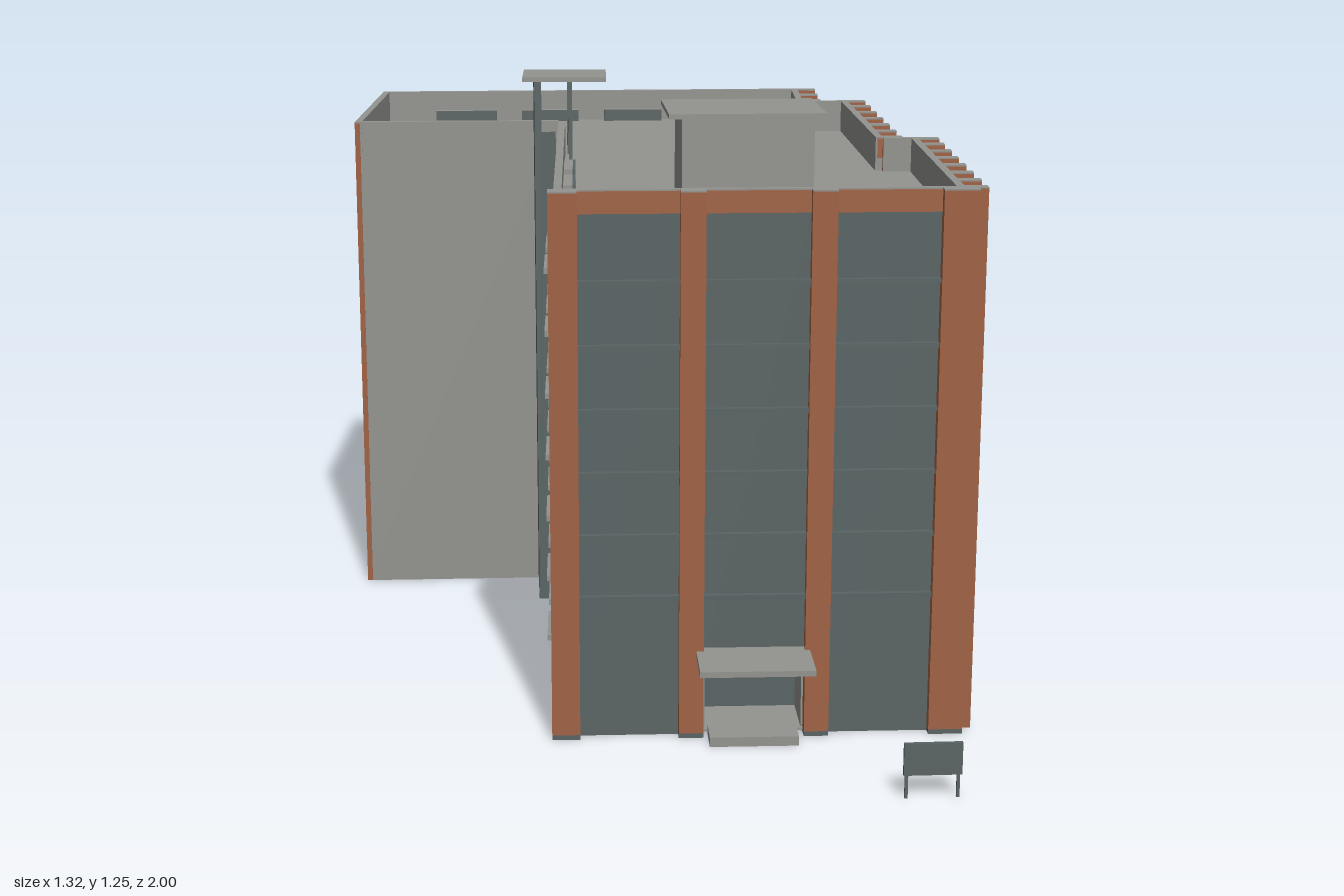
import * as THREE from 'three';

const mat = (name, color, side = THREE.FrontSide) => {
  const m = new THREE.MeshStandardMaterial({ color, side });
  m.name = name;
  return m;
};

export function createModel() {
  const brick = mat('brick', 0xa06243);
  const grey = mat('concrete', 0x93938f, THREE.DoubleSide);
  const dark = mat('darkGlass', 0x5a6464, THREE.DoubleSide);
  const model = new THREE.Group();
  model.name = 'apartmentBlock';
  const TOP = 1.122, BAND = 1.078, ROOF = 1.05, STOREY = 0.1293;

  // Box given by its lower and upper limits on each axis
  function box(parent, name, material, x0, x1, y0, y1, z0, z1) {
    const mesh = new THREE.Mesh(new THREE.BoxGeometry(x1 - x0, y1 - y0, z1 - z0), material);
    mesh.position.set((x0 + x1) / 2, (y0 + y1) / 2, (z0 + z1) / 2);
    mesh.name = name;
    parent.add(mesh);
    return mesh;
  }

  // Wall group: local x runs along the wall, local z points outward
  function side(name, a, b) {
    const g = new THREE.Group();
    g.name = name;
    g.position.set(a[0], 0, a[1]);
    g.rotation.y = Math.atan2(a[1] - b[1], b[0] - a[0]);
    g.userData.length = Math.hypot(b[0] - a[0], b[1] - a[1]);
    model.add(g);
    const L = g.userData.length;
    box(g, 'parapetLining', grey, 0, L, ROOF, TOP, -0.016, -0.012);
    box(g, 'coping', grey, 0, L, TOP, TOP + 0.003, -0.016, 0);
    return g;
  }

  // Plain wall of one colour
  function plainWall(name, a, b, material) {
    const g = side(name, a, b);
    box(g, 'wall', material, 0, g.userData.length, 0, TOP, -0.012, 0);
  }

  // Brick wall with recessed window bays and projecting floor slabs
  function bayWall(name, a, b, bays, end) {
    const g = side(name, a, b);
    const L = end ?? g.userData.length, depth = 0.035;
    box(g, 'topBand', brick, 0, g.userData.length, BAND, TOP, -0.012, 0);
    let u = 0;
    for (const [u0, u1] of [...bays, [L, L]]) {
      if (u0 - u > 0.001) box(g, 'brickPier', brick, u, u0, 0, BAND, -0.012, 0);
      u = u1;
      if (u1 === u0) continue;
      box(g, 'bayGlazing', dark, u0, u1, 0, BAND, -depth - 0.006, -depth);
      for (const e of [u0, u1 - 0.004]) box(g, 'bayReveal', grey, e, e + 0.004, 0, BAND, -depth, -0.002);
      box(g, 'bayHead', grey, u0, u1, BAND - 0.004, BAND, -depth, -0.002);
      for (let i = 0; i < 7; i++) {
        const y = 0.165 + i * STOREY;
        box(g, 'floorSlab', grey, u0 + 0.002, u1 - 0.002, y - 0.006, y + 0.006, -depth, 0.022);
      }
    }
    return g;
  }

  // Concrete wall with brick fins and oval windows in every bay
  const oval = new THREE.CircleGeometry(1, 20);
  oval.scale(0.026, 0.035, 1);
  function finWall(name, a, b, count) {
    const g = side(name, a, b), L = g.userData.length, step = L / count;
    box(g, 'wall', grey, 0, L, 0, BAND, -0.012, 0);
    box(g, 'topBand', brick, 0, L, BAND, TOP, -0.012, 0.002);
    box(g, 'plinth', dark, 0, L, 0, 0.01, 0, 0.004);
    for (let i = 0; i <= count; i++) {
      const u = Math.min(Math.max(i * step, 0.012), L - 0.012);
      box(g, 'fin', brick, u - 0.012, u + 0.012, 0.004, TOP, -0.005, 0.045);
      box(g, 'finCap', grey, u - 0.012, u + 0.012, TOP, TOP + 0.003, -0.005, 0.045);
      if (i === count) break;
      for (let f = 0; f < 8; f++) {
        const w = new THREE.Mesh(oval, dark);
        w.name = 'ovalWindow';
        w.position.set((i + 0.5) * step, 0.092 + f * 0.1325, 0.003);
        g.add(w);
      }
    }
  }

  // Footprint corners, counter-clockwise seen from above
  const P = [[-0.215, 0.655], [0.585, 0.67], [0.612, -0.015], [0.535, -0.02], [0.55, -0.675],
    [0.44, -0.68], [0.457, -0.925], [-0.615, -0.925], [-0.655, -0.34], [-0.18, -0.335]];

  // Front: dark glazing between brick pilasters
  const front = side('frontWall', P[0], P[1]);
  box(front, 'topBand', brick, 0, 0.8, BAND, TOP, -0.012, 0.004);
  for (const [u0, u1] of [[-0.012, 0.045], [0.245, 0.295], [0.5, 0.55], [0.755, 0.825]]) {
    box(front, 'pilaster', brick, u0, u1, 0.01, TOP, -0.012, 0.022);
    box(front, 'pilasterBase', dark, u0, u1, 0, 0.01, -0.012, 0.022);
    box(front, 'pilasterCap', grey, u0, u1, TOP, TOP + 0.003, -0.012, 0.022);
  }
  for (const [u0, u1, y0] of [[0.045, 0.245, 0], [0.295, 0.5, 0.157], [0.55, 0.755, 0]]) {
    box(front, 'glazing', dark, u0, u1, y0, BAND, -0.006, 0);
    for (let i = 1; i < 7; i++) {
      const y = 0.167 + i * STOREY;
      box(front, 'spandrel', dark, u0, u1, y - 0.005, y + 0.005, 0, 0.012);
    }
  }

  // Recessed entrance with canopy and step
  const entrance = new THREE.Group();
  entrance.name = 'entrance';
  front.add(entrance);
  box(entrance, 'doorPanel', dark, 0.295, 0.5, 0, 0.157, -0.126, -0.12);
  for (const u of [0.295, 0.496]) box(entrance, 'entranceSide', grey, u, u + 0.004, 0, 0.157, -0.12, -0.006);
  box(entrance, 'entranceCeiling', grey, 0.295, 0.5, 0.153, 0.157, -0.12, -0.006);
  box(entrance, 'entranceFloor', grey, 0.295, 0.5, 0.004, 0.01, -0.12, 0);
  box(entrance, 'step', grey, 0.305, 0.485, 0, 0.02, 0, 0.07);
  box(entrance, 'canopy', grey, 0.28, 0.51, 0.174, 0.186, 0, 0.136);

  // Stepped right side
  finWall('rightFrontWall', P[1], P[2], 7);
  plainWall('rightFrontStep', P[2], P[3], brick);
  finWall('rightMiddleWall', P[3], P[4], 6);
  plainWall('rightBackStep', P[4], P[5], brick);
  finWall('rightBackWall', P[5], P[6], 2);

  // Back with four bays and a corner panel carrying balconies
  const back = bayWall('backWall', P[6], P[7],
    [[0.142, 0.292], [0.357, 0.505], [0.572, 0.717], [0.782, 0.937]], 0.937);
  box(back, 'cornerGlazing', dark, 0.937, 1.072, 0.24, BAND, -0.012, 0);
  box(back, 'cornerBase', brick, 0.937, 1.072, 0, 0.24, -0.012, 0);
  for (const y of [0.293, 0.551, 0.809]) box(back, 'balcony', grey, 0.935, 1.076, y, y + 0.054, 0, 0.074);

  // Left side
  bayWall('leftWingWall', P[7], P[8], [[0.22, 0.357]]);
  plainWall('wingFrontWall', P[8], P[9], grey);
  bayWall('leftMainWall', P[9], P[0], [[0.295, 0.437], [0.505, 0.648], [0.715, 0.865]]);

  // Roof deck
  const deck = new THREE.Shape(P.map(([x, z]) => new THREE.Vector2(x, -z)));
  const roof = new THREE.Mesh(new THREE.ShapeGeometry(deck).rotateX(-Math.PI / 2), grey);
  roof.position.y = ROOF;
  roof.name = 'roofDeck';
  model.add(roof);

  // Rooftop plant room
  box(model, 'plantRoom', grey, 0.055, 0.328, ROOF, 1.225, 0.18, 0.378);
  box(model, 'plantRoomRoof', grey, 0.027, 0.35, 1.225, 1.235, 0.153, 0.398);

  // Shaft in the inner corner with its covered top
  const shaft = new THREE.Group();
  shaft.name = 'cornerShaft';
  model.add(shaft);
  box(shaft, 'shaftPanel', dark, -0.238, -0.222, 0, 1.235, -0.325, -0.18);
  box(shaft, 'shaftFront', dark, -0.222, -0.19, 0, 1.12, -0.188, -0.18);
  for (const z of [-0.318, -0.186]) box(shaft, 'post', dark, -0.16, -0.152, ROOF, 1.235, z - 0.004, z + 0.004);
  const cover = box(shaft, 'shaftRoof', grey, -0.262, -0.072, 1.235, 1.245, -0.333, -0.173);
  cover.rotation.y = -0.035;

  // Free-standing sign board
  const sign = new THREE.Group();
  sign.name = 'signBoard';
  model.add(sign);
  box(sign, 'board', dark, 0.435, 0.548, 0.047, 0.112, 0.992, 1);
  for (const x of [0.438, 0.538]) box(sign, 'signLeg', dark, x, x + 0.006, 0, 0.047, 0.993, 0.999);

  return model;
}
